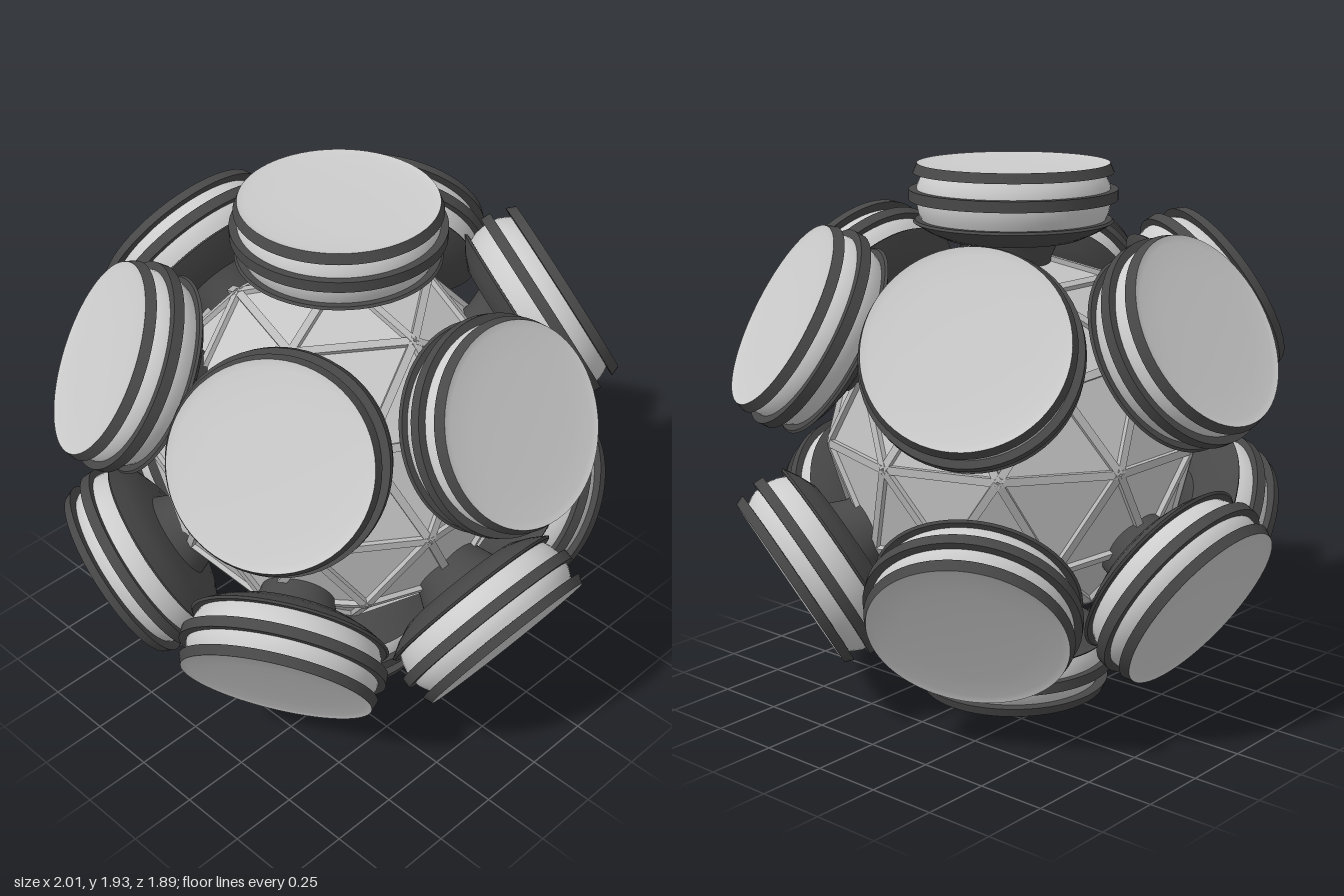
import * as THREE from 'three';
import { mergeGeometries, toCreasedNormals } from 'three/addons/utils/BufferGeometryUtils.js';

const CENTRE_Y = 0.966;
const CORE_R = 0.674;

const paint = (name, color, opts = {}) => {
  const m = new THREE.MeshStandardMaterial({ color, ...opts });
  m.name = name;
  return m;
};

// Twice-divided icosahedron with a vertex at the pole: 80 triangles of unit vectors
function geodesicFaces() {
  const ring = (y, offset) => Array.from({ length: 5 }, (_, i) => {
    const a = offset + (i * Math.PI * 2) / 5, r = Math.sqrt(1 - y * y);
    return new THREE.Vector3(r * Math.cos(a), y, -r * Math.sin(a));
  });
  const y = 1 / Math.sqrt(5);
  const top = new THREE.Vector3(0, 1, 0), bottom = new THREE.Vector3(0, -1, 0);
  const u = ring(y, 0), l = ring(-y, Math.PI / 5);
  const faces = [];
  for (let i = 0; i < 5; i++) {
    const j = (i + 1) % 5;
    faces.push([top, u[i], u[j]], [u[i], l[i], u[j]], [l[i], l[j], u[j]], [bottom, l[j], l[i]]);
  }
  const mid = (a, b) => a.clone().add(b).normalize();
  return faces.flatMap(([a, b, c]) => {
    const ab = mid(a, b), bc = mid(b, c), ca = mid(c, a);
    return [[a, ab, ca], [ab, b, bc], [ca, bc, c], [ab, bc, ca]];
  });
}

// Flat panels, slightly sunk below the struts
function panelGeometry(faces, radius) {
  const points = faces.flat().map((p) => p.clone().multiplyScalar(radius));
  const g = new THREE.BufferGeometry().setFromPoints(points);
  g.computeVertexNormals();
  return g;
}

// One square bar along every edge
function strutGeometry(faces, radius) {
  const seen = new Set(), bars = [];
  const key = (p) => p.toArray().map((v) => Math.round(v * 100) + 0).join();
  for (const f of faces) {
    for (let i = 0; i < 3; i++) {
      const a = f[i], b = f[(i + 1) % 3];
      const id = [key(a), key(b)].sort().join('|');
      if (seen.has(id)) continue;
      seen.add(id);
      const dir = b.clone().sub(a).normalize();
      const out = a.clone().add(b).normalize();
      const side = new THREE.Vector3().crossVectors(out, dir);
      const centre = a.clone().add(b).multiplyScalar(radius / 2);
      const m = new THREE.Matrix4().makeBasis(side, out, dir).setPosition(centre);
      bars.push(new THREE.BoxGeometry(0.028, 0.03, a.distanceTo(b) * radius).applyMatrix4(m));
    }
  }
  return mergeGeometries(bars);
}

// Turned part from [radius, distance from the core centre] pairs
const turned = (pairs) => toCreasedNormals(
  new THREE.LatheGeometry(pairs.map(([r, d]) => new THREE.Vector2(r, d)), 64), 0.5);

export function createModel() {
  const light = paint('light grey', 0xcccccc);
  const panel = paint('panel grey', 0xc6c6c6);
  const strut = paint('strut grey', 0xbababa);
  const dark = paint('dark grey', 0x484848);

  const model = new THREE.Group();
  model.name = 'paddedSphere';
  const body = new THREE.Group();
  body.name = 'body';
  body.position.y = CENTRE_Y;
  model.add(body);

  const add = (parent, name, geometry, material) => {
    const mesh = new THREE.Mesh(geometry, material);
    mesh.name = name;
    parent.add(mesh);
  };

  // Geodesic core
  const faces = geodesicFaces();
  add(body, 'corePanels', panelGeometry(faces, CORE_R - 0.012), panel);
  add(body, 'coreStruts', strutGeometry(faces, CORE_R - 0.012), strut);

  // Parts shared by all pads
  const padParts = [
    ['padHub', turned([[0.125, 0.56], [0.135, 0.64], [0.165, 0.71]]), dark],
    ['padBack', turned([[0, 0.703], [0.24, 0.703], [0.30, 0.73], [0.352, 0.762], [0.345, 0.77], [0.3, 0.77]]), dark],
    ['padDrum', turned([[0.322, 0.768], [0.334, 0.795], [0.34, 0.825], [0.341, 0.858],
      [0.337, 0.89], [0.325, 0.915], [0.315, 0.932]]), light],
    ['padBand', turned([[0.33, 0.838], [0.366, 0.838], [0.366, 0.876], [0.33, 0.876]]), dark],
    ['padRim', turned([[0.31, 0.93], [0.351, 0.932], [0.337, 0.966]]), dark],
    ['padFace', turned([[0.337, 0.966], [0.328, 0.9635], [0.31, 0.961], [0.22, 0.9575], [0.11, 0.956], [0, 0.9555]]), light],
  ];

  const up = new THREE.Vector3(0, 1, 0);
  const addPad = (name, direction) => {
    const pad = new THREE.Group();
    pad.name = name;
    pad.quaternion.setFromUnitVectors(up, direction);
    for (const [part, geometry, material] of padParts) add(pad, part, geometry, material);
    body.add(pad);
  };

  // Pads at both poles and in two rings of six
  addPad('topPad', up);
  addPad('bottomPad', new THREE.Vector3(0, -1, 0));
  for (const [name, elevation] of [['upperPad', Math.PI / 6], ['lowerPad', -Math.PI / 6]]) {
    for (let i = 0; i < 6; i++) {
      const a = (i * Math.PI) / 3, c = Math.cos(elevation);
      addPad(name + (i + 1), new THREE.Vector3(c * Math.cos(a), Math.sin(elevation), c * Math.sin(a)));
    }
  }
  return model;
}
